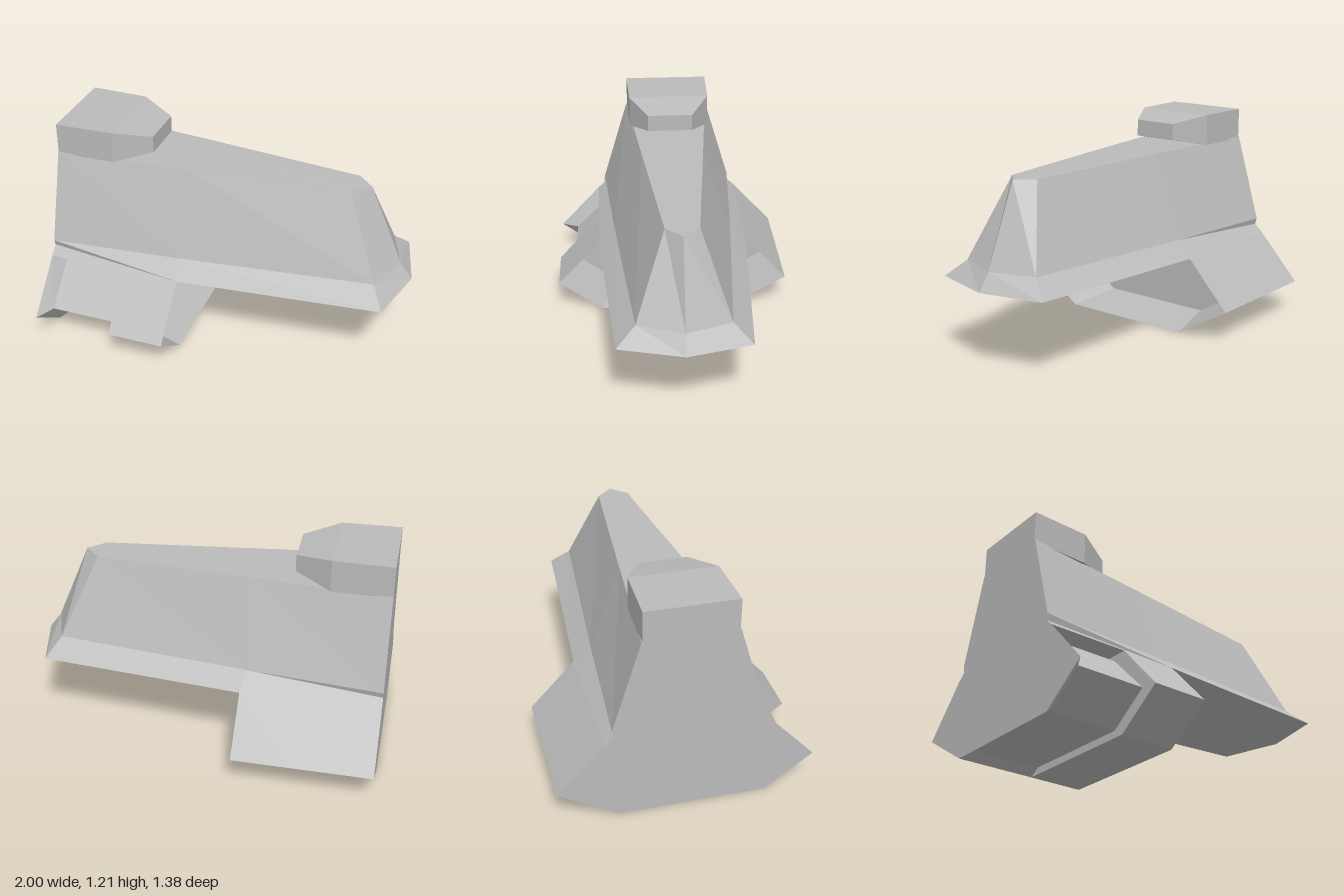
import * as THREE from 'three';

// Skin a list of closed rings (each counter-clockwise seen from +x).
function loft(rings, capped, material, name) {
  const pos = [];
  const tri = (a, b, c) => pos.push(...a, ...b, ...c);
  for (let s = 0; s < rings.length - 1; s++) {
    const a = rings[s], b = rings[s + 1];
    for (let i = 0; i < a.length; i++) {
      const j = (i + 1) % a.length;
      tri(a[i], a[j], b[j]);
      tri(a[i], b[j], b[i]);
    }
  }
  if (capped) {
    const first = rings[0], last = rings[rings.length - 1];
    for (let i = 1; i < first.length - 1; i++) {
      tri(first[0], first[i + 1], first[i]);
      tri(last[0], last[i], last[i + 1]);
    }
  }
  const geometry = new THREE.BufferGeometry();
  geometry.setAttribute('position', new THREE.Float32BufferAttribute(pos, 3));
  geometry.computeVertexNormals(); // unshared corners give flat facets
  const mesh = new THREE.Mesh(geometry, material);
  mesh.name = name;
  return mesh;
}

// Half section from top centre to bottom centre, mirrored across z = 0.
const mirrored = (half) => [
  ...half,
  ...half.slice(1, -1).reverse().map(([x, y, z]) => [x, y, -z]),
];

// Place a [z, y] profile at a given x.
const at = (x, profile) => profile.map(([z, y]) => [x, y, z]);

export function createModel() {
  const group = new THREE.Group();
  const grey = new THREE.MeshStandardMaterial({ color: 0xbbbbbb, flatShading: true, side: THREE.DoubleSide });
  grey.name = 'light grey';

  // Main hull: sloped sides, flared skirt, pointed nose
  const rear = [
    [-1, 1.04, 0], [-1, 1.04, 0.25], [-1, 0.54, 0.4],
    [-1, 0.505, 0.39], [-1, 0.46, 0.44], [-1, 0.46, 0],
  ];
  const middle = [
    [-0.25, 1.032, 0], [-0.25, 1.032, 0.178], [-0.25, 0.55, 0.345],
    [-0.23, 0.46, 0.44], [-0.23, 0.46, 0.44], [-0.23, 0.46, 0],
  ];
  const ridge = [0.93, 0.57, 0], tip = [1, 0.475, 0], peak = [0.74, 1.02, 0];
  const front = [
    peak, [0.65, 1.02, 0.09], [0.84, 0.57, 0.25],
    [0.91, 0.475, 0.355], [0.91, 0.475, 0.355], tip,
  ];
  const noseLine = [peak, peak, ridge, tip, tip, tip];
  const backLine = rear.map(([x, y]) => [x, y, 0]);
  group.add(loft([backLine, rear, middle, front, noseLine].map(mirrored), false, grey, 'hull'));

  // Lower housing: waisted hexagonal body with a hollow end
  const outer = [[-0.37, 0], [-0.69, 0.19], [-0.44, 0.46], [0.44, 0.46], [0.69, 0.19], [0.43, 0]];
  const inner = [[-0.31, 0.04], [-0.59, 0.2], [-0.36, 0.43], [0.36, 0.43], [0.59, 0.2], [0.37, 0.04]];
  group.add(loft([
    at(-1, outer), at(-0.94, inner), at(-0.55, inner),
    at(-0.55, outer), at(-0.23, outer), at(-0.54, inner),
  ], true, grey, 'lowerHousing'));

  // Solid side covering the waist on the -z side
  const cover = [...outer.slice(0, 3), ...inner.slice(0, 3).reverse()];
  group.add(loft([at(-1, cover), at(-0.55, cover)], false, grey, 'sideCover'));

  // Turret block with a tapered snout
  const rect = (x, z, y0, y1) => at(x, [[-z, y0], [-z, y1], [z, y1], [z, y0]]);
  group.add(loft([
    rect(-1, 0.245, 1.03, 1.21), rect(-0.67, 0.235, 1.03, 1.21), rect(-0.47, 0.13, 1.075, 1.17),
  ], true, grey, 'turret'));

  return group;
}
